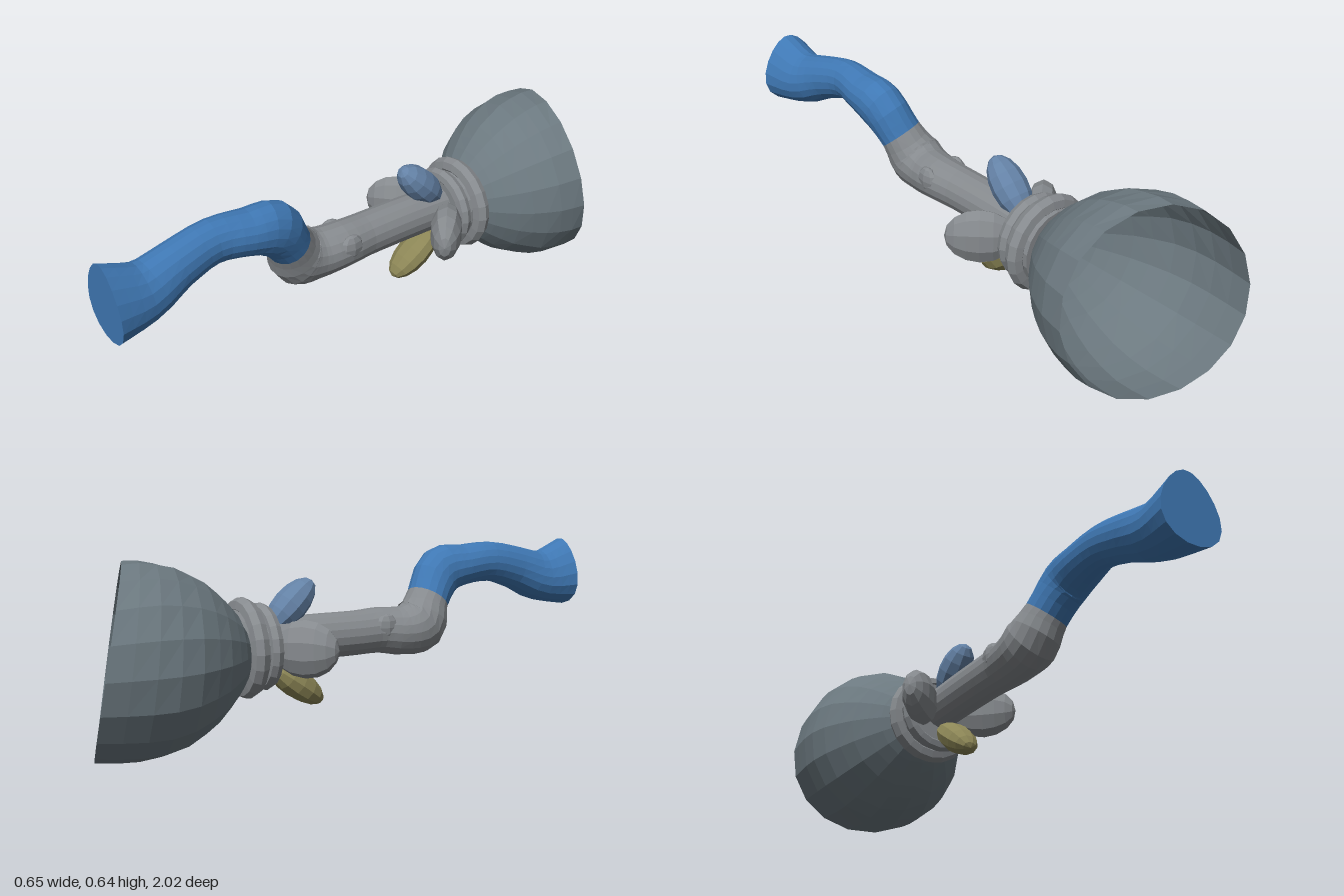
import * as THREE from 'three';

const SIDES = 18;

function addMesh(group, name, geometry, color, side = THREE.FrontSide) {
  const material = new THREE.MeshStandardMaterial({ color, flatShading: true, side });
  const mesh = new THREE.Mesh(geometry, material);
  mesh.name = name;
  group.add(mesh);
  return mesh;
}

// Skin rings of SIDES points, listed towards +z; optionally close the ends.
function loft(rings, capStart, capEnd) {
  const points = rings.flat();
  const index = [];
  for (let i = 0; i < rings.length - 1; i++) {
    for (let j = 0; j < SIDES; j++) {
      const k = (j + 1) % SIDES;
      const a = i * SIDES + j, b = i * SIDES + k;
      index.push(a, b, a + SIDES, b, b + SIDES, a + SIDES);
    }
  }
  const last = (rings.length - 1) * SIDES;
  for (let j = 1; j < SIDES - 1; j++) {
    if (capStart) index.push(0, j + 1, j);
    if (capEnd) index.push(last, last + j, last + j + 1);
  }
  const geometry = new THREE.BufferGeometry().setFromPoints(points);
  geometry.setIndex(index);
  geometry.computeVertexNormals();
  return geometry;
}

// Handle stations: x, y, z, half width, half height
const STATIONS = [
  [0.025, 0.345, -0.48, 0.075, 0.075],
  [0.025, 0.35, -0.2, 0.075, 0.08],
  [0.028, 0.35, 0, 0.078, 0.08],
  [0.035, 0.352, 0.1, 0.085, 0.083],
  [0.022, 0.345, 0.2, 0.09, 0.09],
  [0.022, 0.365, 0.27, 0.095, 0.105],
  [0.05, 0.45, 0.325, 0.08, 0.08],
  [0.08, 0.545, 0.4, 0.08, 0.095],
  [0.08, 0.567, 0.5, 0.08, 0.077],
  [0.075, 0.575, 0.62, 0.068, 0.076],
  [0.085, 0.545, 0.75, 0.075, 0.083],
  [0.095, 0.505, 0.88, 0.095, 0.1],
  [0.105, 0.517, 1, 0.115, 0.132],
];

function handleRings(from, to) {
  const path = new THREE.CatmullRomCurve3(STATIONS.map(s => new THREE.Vector3(s[0], s[1], s[2])));
  const size = new THREE.CatmullRomCurve3(STATIONS.map(s => new THREE.Vector3(s[3], s[4], 0)));
  const rings = [];
  const steps = 3 * (STATIONS.length - 1);
  for (let i = from * 3; i <= to * 3; i++) {
    const t = i / steps;
    const centre = path.getPoint(t);
    const radius = size.getPoint(t);
    const tangent = path.getTangent(t);
    // the end is cut square to z
    tangent.lerp(new THREE.Vector3(0, 0, 1), THREE.MathUtils.smoothstep(t, 0.88, 1)).normalize();
    const up = new THREE.Vector3().crossVectors(tangent, new THREE.Vector3(1, 0, 0)).normalize();
    const right = new THREE.Vector3().crossVectors(up, tangent);
    const egg = 0.25 * THREE.MathUtils.smoothstep(t, 0.8, 1);
    rings.push(Array.from({ length: SIDES }, (_, j) => {
      const a = (j / SIDES) * Math.PI * 2;
      return centre.clone()
        .addScaledVector(right, radius.x * Math.cos(a) * (1 - egg * Math.sin(a)))
        .addScaledVector(up, radius.y * Math.sin(a));
    }));
  }
  return rings;
}

// Bowl radius by depth, measured back from the neck
const BOWL = [[0, 0.02], [0.004, 0.12], [0.035, 0.16], [0.085, 0.208], [0.135, 0.25],
  [0.235, 0.302], [0.335, 0.324], [0.43, 0.32], [0.56, 0.3]];

function bowlRadius(depth) {
  let i = 1;
  while (i < BOWL.length - 1 && BOWL[i][0] < depth) i++;
  const [d0, r0] = BOWL[i - 1], [d1, r1] = BOWL[i];
  return THREE.MathUtils.lerp(r0, r1, (depth - d0) / (d1 - d0));
}

function bowlRings() {
  const rings = [];
  const fractions = [1, 0.86, 0.72, 0.58, 0.44, 0.32, 0.22, 0.13, 0.06, 0.008, 0];
  for (const f of fractions) {
    rings.push(Array.from({ length: SIDES }, (_, j) => {
      const a = (j / SIDES) * Math.PI * 2;
      // the mouth is cut on a slant
      const rim = 0.445 - 0.1 * Math.cos(a) - 0.055 * Math.sin(a);
      const depth = f * rim;
      const r = bowlRadius(depth);
      return new THREE.Vector3(r * Math.cos(a), 0.327 + r * Math.sin(a), -0.465 - depth);
    }));
  }
  return rings;
}

export function createModel() {
  const group = new THREE.Group();
  group.name = 'scoop';

  // Bowl, open to the back
  addMesh(group, 'bowl', loft(bowlRings(), false, true), 0x6c7980, THREE.DoubleSide);

  // Crooked handle: straight shaft, then the raised grip
  addMesh(group, 'shaft', loft(handleRings(0, 6), true, false), 0x868a8e);
  addMesh(group, 'grip', loft(handleRings(6, 12), false, true), 0x3f78b4);

  // Small knots on both sides of the shaft
  for (const side of [-1, 1]) {
    const knot = addMesh(group, 'shaftKnot', new THREE.SphereGeometry(0.048, 8, 6), 0x868a8e);
    knot.position.set(0.035 + side * 0.065, 0.37, 0.1);
    knot.scale.x = 0.5;
  }

  // Collar and its two rings
  const collar = addMesh(group, 'collar', new THREE.CylinderGeometry(0.125, 0.135, 0.13, SIDES), 0x868a8e);
  collar.rotation.x = Math.PI / 2;
  collar.position.set(0.02, 0.333, -0.415);
  for (const [z, radius, tube] of [[-0.435, 0.143, 0.031], [-0.37, 0.126, 0.025]]) {
    const ring = addMesh(group, 'collarRing', new THREE.TorusGeometry(radius, tube, 7, 20), 0x868a8e);
    ring.position.set(0.022, 0.333, z);
  }

  // Four petals leaning forwards: turn, reach, z, lean, half sizes, colour
  const petals = [
    ['topPetal', 0, 0.133, -0.255, 0.8, [0.065, 0.118, 0.06], 0x6482a6],
    ['leftPetal', -Math.PI / 2, 0.14, -0.268, 0.75, [0.1, 0.12, 0.058], 0x868a8e],
    ['rightPetal', Math.PI / 2, 0.14, -0.268, 0.75, [0.1, 0.12, 0.058], 0x868a8e],
    ['bottomPetal', Math.PI, 0.145, -0.235, 0.95, [0.065, 0.122, 0.052], 0x8c8656],
  ];
  for (const [name, turn, reach, z, lean, size, color] of petals) {
    const pivot = new THREE.Group();
    pivot.name = name + 'Pivot';
    pivot.position.set(0.028, 0.334, z);
    pivot.rotation.z = turn;
    const petal = addMesh(pivot, name, new THREE.SphereGeometry(1, 10, 8), color);
    petal.scale.set(...size);
    petal.position.y = reach;
    petal.rotation.x = lean;
    group.add(pivot);
  }
  return group;
}
